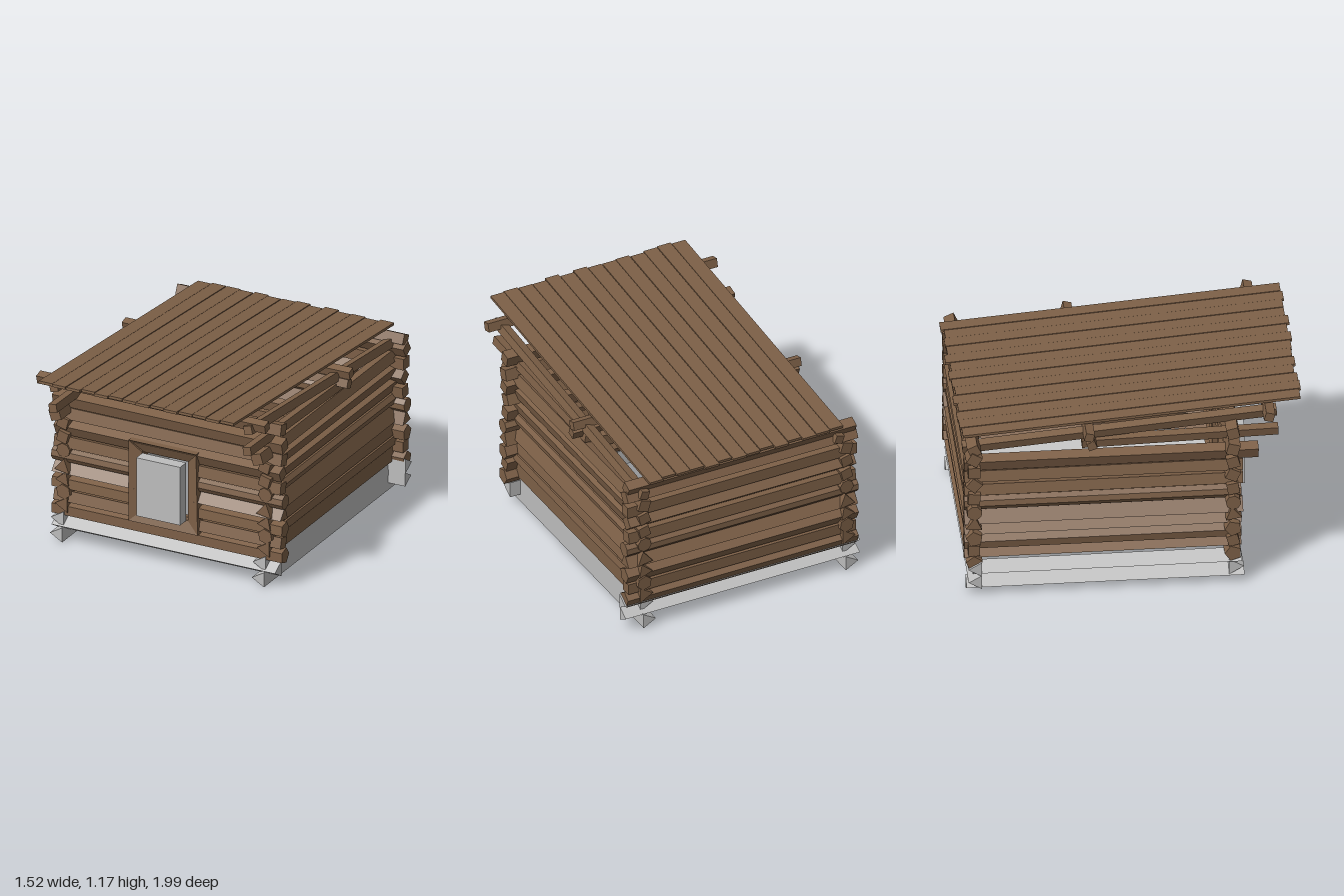
import * as THREE from 'three';

export function createModel() {
  const root = new THREE.Group();
  root.name = 'logCabin';
  const wood = new THREE.MeshStandardMaterial({ color: 0x7d6047, flatShading: true });
  wood.name = 'wood';
  const stone = new THREE.MeshStandardMaterial({ color: 0xbebebe, flatShading: true });
  stone.name = 'stone';

  const add = (name, geo, mat = wood) => {
    const mesh = new THREE.Mesh(geo, mat);
    mesh.name = name;
    root.add(mesh);
    return mesh;
  };

  // Log along x; angle 0 points a corner forward, positive turns it downward
  const logX = (name, y, z, x0, x1, sides, r, deg, mat) => {
    const g = new THREE.CylinderGeometry(r, r, x1 - x0, sides, 1, false, deg * Math.PI / 180);
    g.rotateZ(-Math.PI / 2);
    add(name, g, mat).position.set((x0 + x1) / 2, y, z);
  };

  // Log along z, with separate heights at its two ends; angle -90 points a corner to -x
  const logZ = (name, x, z0, y0, z1, y1, sides, r, deg, mat) => {
    const g = new THREE.CylinderGeometry(r, r, Math.hypot(z1 - z0, y1 - y0), sides, 1, false, deg * Math.PI / 180);
    g.rotateX(Math.PI / 2);
    const m = add(name, g, mat);
    m.position.set(x, (y0 + y1) / 2, (z0 + z1) / 2);
    m.rotation.x = -Math.atan2(y1 - y0, z1 - z0);
  };

  // Foundation: triangular beams
  logX('frontFoundationBeam', 0.1, 0.585, -0.74, 0.715, 3, 0.057, 0, stone);
  logX('backFoundationBeam', 0.09, -0.9, -0.765, 0.757, 3, 0.05, 180, stone);
  logX('backFoundationBeam', 0.175, -0.9, -0.765, 0.76, 3, 0.052, 180, stone);
  for (const x of [-0.695, 0.62]) {
    logZ('sideFoundationBeam', x, -0.96, 0.047, 0.645, 0.047, 3, 0.053, -90, stone);
    logZ('sideFoundationBeam', x, -0.92, 0.14, 0.63, 0.14, 3, 0.055, -90, stone);
  }

  // Front and back walls: [y, sides, radius, angle, half length]
  const crossLogs = [
    [0.195, 5, 0.05, 36, 0.75], [0.275, 4, 0.047, 30, 0.74], [0.36, 5, 0.05, 30, 0.75],
    [0.45, 3, 0.054, 20, 0.745], [0.535, 8, 0.045, 10, 0.752], [0.62, 4, 0.049, 35, 0.738],
    [0.71, 4, 0.049, 70, 0.735], [0.8, 4, 0.049, 30, 0.745], [0.888, 4, 0.049, 60, 0.748],
  ];
  for (const [y, sides, r, deg, h] of crossLogs) {
    if (y > 0.3 && y < 0.66) {
      logX('frontWallLog', y, 0.58, -h, -0.21, sides, r, deg);
      logX('frontWallLog', y, 0.58, 0.18, h, sides, r, deg);
    } else logX('frontWallLog', y, 0.58, -h, h, sides, r, deg);
    logX('backWallLog', y + 0.01, -0.915, -h, h, sides, r, deg + 15);
  }
  logX('frontTopLog', 0.99, 0.58, -0.74, 0.74, 4, 0.048, 32);
  logX('backTopLog', 0.955, -0.915, -0.74, 0.74, 4, 0.045, 20);

  // Side walls: [y, sides, radius, angle, front end]
  const sideLogs = [
    [0.235, 3, 0.054, -90, 0.63], [0.315, 6, 0.047, 10, 0.63], [0.395, 3, 0.052, -80, 0.63],
    [0.475, 3, 0.056, -70, 0.64], [0.577, 8, 0.044, 10, 0.63], [0.665, 4, 0.047, 30, 0.64],
    [0.755, 4, 0.047, 30, 0.64], [0.842, 4, 0.048, 62, 0.73],
  ];
  for (const x of [-0.67, 0.645])
    for (const [y, sides, r, deg, front] of sideLogs)
      logZ('sideWallLog', x, -0.97, y, front, y, sides, r, deg);

  // Sloping roof beams and short gable beams
  for (const x of [-0.62, 0.645]) {
    logZ('rafter', x, -0.975, 0.918, 0.84, 1.072, 4, 0.037, 60);
    logZ('gableBeam', x, -0.285, 0.915, 0.85, 0.943, 4, 0.036, 55);
  }

  // Purlins
  logX('frontPurlin', 1.092, 0.79, -0.743, 0.745, 4, 0.038, 60);
  logX('middlePurlin', 1.01, -0.25, -0.74, 0.74, 4, 0.036, 60);
  logX('middleLowerPurlin', 0.95, -0.235, -0.735, 0.735, 4, 0.036, 25);

  // Roof planks with slightly uneven ends
  const ends = [[0.98, 0.975], [0.99, 0.985], [0.985, 0.99], [0.97, 0.975], [0.985, 0.995],
    [0.975, 0.975], [0.98, 0.985], [0.99, 0.995], [0.975, 0.975], [0.992, 1], [0.975, 0.98],
    [0.975, 0.985], [0.985, 0.975], [0.975, 0.995]];
  ends.forEach(([front, back], i) => {
    const g = new THREE.BoxGeometry(0.087, 0.016, front + back);
    g.translate(0, 0, (front - back) / 2);
    const m = add('roofPlank', g);
    m.position.set(-0.601 + i * 0.0908, 1.077 + (i % 2) * 0.002, 0);
    m.rotation.x = -0.08;
  });

  // Window frame: four mitred boards whose inner edges sink inward
  const outer = [[-0.24, 0.23], [0.21, 0.23], [0.2, 0.74], [-0.24, 0.74]];
  const inner = [[-0.165, 0.3], [0.135, 0.3], [0.135, 0.67], [-0.165, 0.67]];
  const depth = [0.625, 0.625, 0.58, 0.58];
  for (let i = 0; i < 4; i++) {
    const j = (i + 1) % 4;
    const sunk = i === 2 ? 0.55 : 0.615;
    const front = [[...outer[i], 0.638], [...outer[j], 0.638],
      [...inner[j], Math.max(sunk, depth[j] - 0.03)], [...inner[i], Math.max(sunk, depth[i] - 0.03)]];
    const pts = [...front, ...front.map(([x, y]) => [x, y, 0.54])];
    const quads = [[0, 1, 2, 3], [7, 6, 5, 4], [0, 4, 5, 1], [1, 5, 6, 2], [2, 6, 7, 3], [3, 7, 4, 0]];
    const pos = quads.flatMap(([a, b, c, d]) => [a, b, c, a, c, d].flatMap((k) => pts[k]));
    const g = new THREE.BufferGeometry();
    g.setAttribute('position', new THREE.Float32BufferAttribute(pos, 3));
    g.computeVertexNormals();
    add('windowFrameBoard', g);
  }

  // Window shutter block
  add('windowBlock', new THREE.BoxGeometry(0.285, 0.367, 0.075), stone).position.set(-0.013, 0.487, 0.663);

  return root;
}
